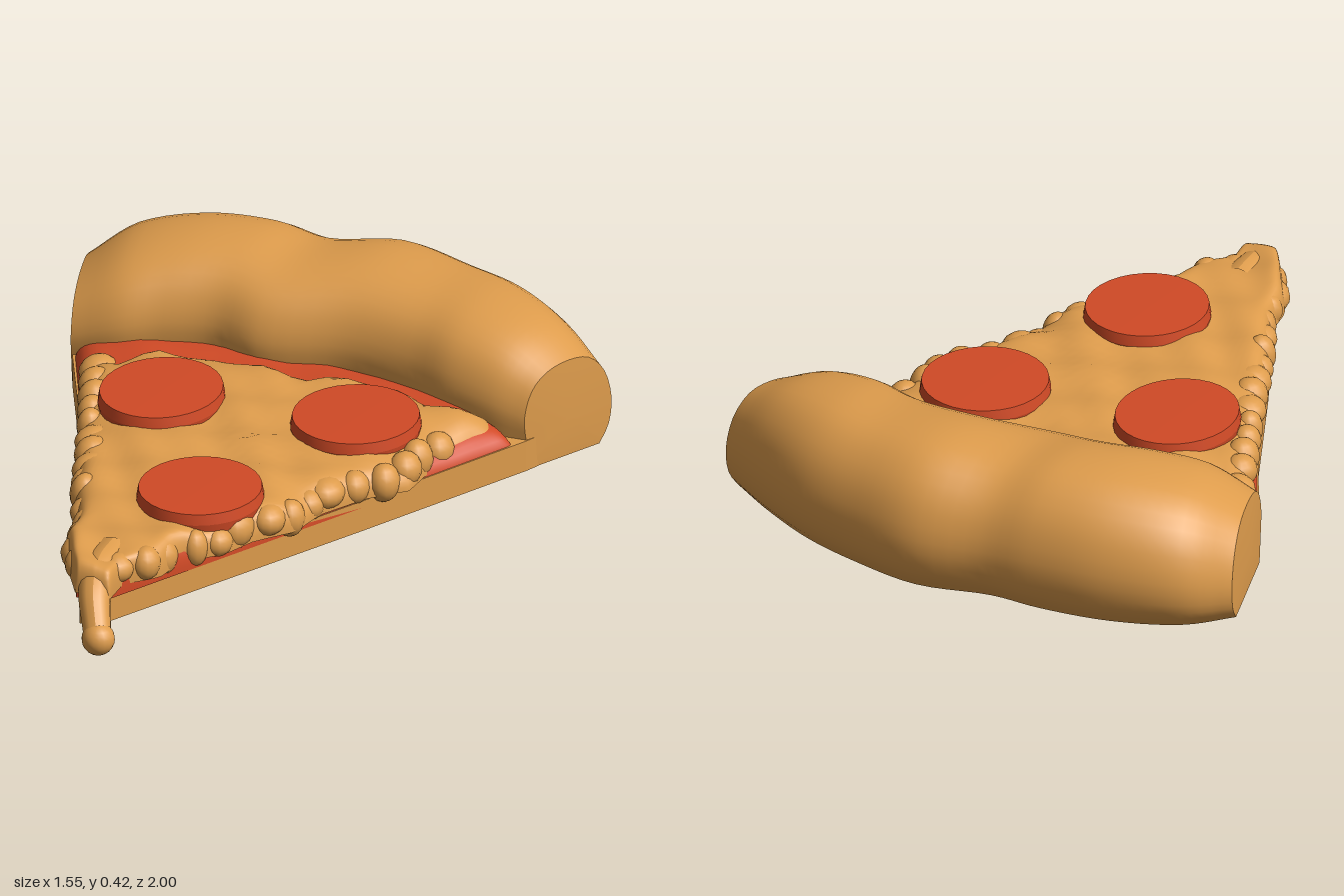
import * as THREE from 'three';
import { toCreasedNormals } from 'three/addons/utils/BufferGeometryUtils.js';

const dough = new THREE.MeshStandardMaterial({ color: 0xde9c4c, side: THREE.DoubleSide });
dough.name = 'bakedDough';
const red = new THREE.MeshStandardMaterial({ color: 0xd14a26, side: THREE.DoubleSide });
red.name = 'tomatoRed';

function add(parent, name, geometry, material) {
  const mesh = new THREE.Mesh(geometry, material);
  mesh.name = name;
  parent.add(mesh);
  return mesh;
}

function build(positions, index) {
  const g = new THREE.BufferGeometry();
  g.setAttribute('position', new THREE.Float32BufferAttribute(positions, 3));
  g.setIndex(index);
  g.computeVertexNormals();
  return g;
}

// Linear interpolation through [key, value] pairs
function lookup(pairs, k) {
  if (k <= pairs[0][0]) return pairs[0][1];
  for (let i = 1; i < pairs.length; i++) {
    const [k0, v0] = pairs[i - 1], [k1, v1] = pairs[i];
    if (k <= k1) return v0 + ((v1 - v0) * (k - k0)) / (k1 - k0);
  }
  return pairs[pairs.length - 1][1];
}

// Outlines: x by z along the sides, z by x along the back of the cheese
const sideLeft = [[-0.45, -0.68], [-0.36, -0.65], [0, -0.45], [0.2, -0.35], [0.4, -0.26], [0.6, -0.17], [0.88, -0.02]];
const sideRight = [[-0.45, 0.65], [0.05, 0.42], [0.88, 0.03]];
const cheeseLeft = [[-0.4, -0.6], [-0.28, -0.58], [0, -0.45], [0.2, -0.355], [0.4, -0.27], [0.58, -0.17],
  [0.68, -0.155], [0.8, -0.08], [0.9, -0.01]];
const cheeseRight = [[-0.45, 0.62], [-0.35, 0.57], [-0.2, 0.51], [-0.05, 0.51], [0.04, 0.43], [0.18, 0.36],
  [0.3, 0.345], [0.4, 0.27], [0.5, 0.235], [0.6, 0.15], [0.7, 0.14], [0.78, 0.07], [0.9, 0.08]];
const cheeseBack = [[-0.6, -0.27], [-0.5, -0.28], [-0.4, -0.38], [-0.3, -0.39], [-0.1, -0.42], [0.04, -0.4],
  [0.14, -0.45], [0.3, -0.46], [0.4, -0.42], [0.55, -0.45], [0.62, -0.4]];

// Soft layer draped over the slice, falling to its base around the rim
function layer({ left, right, back, tip, base, top, bump }) {
  const rows = 60, cols = 40, pos = [], idx = [];
  for (let j = 0; j <= rows; j++) {
    const v = (1 - Math.cos((j / rows) * Math.PI)) / 2;
    for (let i = 0; i <= cols; i++) {
      const u = Math.sin((i / cols - 0.5) * Math.PI);
      const z0 = back(u * 0.62);
      const z = z0 + (tip - z0) * v;
      const xl = lookup(left, z), xr = lookup(right, z);
      const x = xl + ((xr - xl) * (u + 1)) / 2;
      const round = Math.sqrt(Math.max(0, (1 - Math.abs(u) ** 10) * (1 - Math.abs(2 * v - 1) ** 40)));
      const wave = bump * (Math.sin(x * 17 + z * 9) * Math.cos(z * 21 - x * 5) + 0.5 * Math.sin(x * 33 - z * 27));
      pos.push(x, base + (top - base + wave) * round, z);
    }
  }
  const n = cols + 1;
  for (let j = 0; j < rows; j++) for (let i = 0; i < cols; i++) {
    const a = j * n + i;
    idx.push(a, a + n, a + 1, a + 1, a + n, a + n + 1);
  }
  return build(pos, idx);
}

// Puffy crust: a D-shaped section swept between a front and a back outline
function crustGeometry() {
  // frontX, frontZ, backX, backZ, height
  const stations = [
    [-0.66, -0.36, -0.77, -0.72, 0.3], [-0.53, -0.38, -0.67, -0.84, 0.38], [-0.42, -0.43, -0.48, -0.92, 0.415],
    [-0.29, -0.47, -0.27, -0.95, 0.42], [-0.15, -0.455, -0.12, -0.955, 0.402], [0.08, -0.51, 0.08, -1, 0.422],
    [0.28, -0.495, 0.28, -0.97, 0.408], [0.42, -0.455, 0.46, -0.92, 0.405], [0.55, -0.445, 0.63, -0.83, 0.375],
    [0.65, -0.46, 0.775, -0.73, 0.315]];
  const floor = 0.03, steps = 45, pos = [], idx = [];
  const profile = new THREE.SplineCurve([[0.06, 0], [0.02, 0.3], [0, 0.55], [0.08, 0.8], [0.25, 0.95], [0.5, 1],
    [0.74, 0.95], [0.92, 0.75], [1, 0.45], [0.97, 0.18], [0.86, 0]].map(p => new THREE.Vector2(...p))).getPoints(30);
  const n = profile.length;
  const front = new THREE.CatmullRomCurve3(stations.map(s => new THREE.Vector3(s[0], s[4], s[1])));
  const back = new THREE.CatmullRomCurve3(stations.map(s => new THREE.Vector3(s[2], s[4], s[3])));
  for (let i = 0; i <= steps; i++) {
    const f = front.getPoint(i / steps), b = back.getPoint(i / steps);
    for (const p of profile) {
      pos.push(f.x + (b.x - f.x) * p.x, floor + (f.y - floor) * p.y, f.z + (b.z - f.z) * p.x);
    }
  }
  for (let i = 0; i < steps; i++) for (let k = 0; k < n; k++) {
    const a = i * n + k, b = i * n + ((k + 1) % n);
    idx.push(a, a + n, b, b, a + n, b + n);
  }
  // End faces
  for (const [start, s, side] of [[0, stations[0], -1], [steps * n, stations[stations.length - 1], 1]]) {
    const c = pos.length / 3;
    pos.push((s[0] + s[2]) / 2 + side * 0.01, 0.15, (s[1] + s[3]) / 2);
    for (let k = 0; k < n; k++) {
      const a = start + k, b = start + ((k + 1) % n);
      if (side < 0) idx.push(c, a, b); else idx.push(c, b, a);
    }
  }
  return toCreasedNormals(build(pos, idx), 0.75);
}

export function createModel() {
  const model = new THREE.Group();
  model.name = 'pizzaSlice';

  add(model, 'crust', crustGeometry(), dough);

  // Flat bread base under the toppings
  const outline = new THREE.Shape([[-0.7, 0.5], [-0.655, 0.36], [-0.45, 0], [-0.26, -0.4], [-0.015, -0.87], [0.03, -0.87],
    [0.42, -0.05], [0.655, 0.46], [0.67, 0.5], [0.4, 0.7], [-0.4, 0.7]].map(p => new THREE.Vector2(...p)));
  const base = new THREE.ExtrudeGeometry(outline, { depth: 0.09, bevelEnabled: false });
  base.rotateX(-Math.PI / 2).translate(0, 0.03, 0);
  add(model, 'breadBase', base, dough);

  add(model, 'sauce', layer({
    left: sideLeft, right: sideRight, back: x => -0.56 + 0.35 * x * x, tip: 0.86, base: 0.1, top: 0.185, bump: 0.004,
  }), red);
  add(model, 'cheese', layer({
    left: cheeseLeft, right: cheeseRight, back: x => lookup(cheeseBack, x), tip: 0.88, base: 0.125, top: 0.208, bump: 0.009,
  }), dough);

  // Melted lumps along both cut sides
  const lumps = new THREE.Group();
  lumps.name = 'meltedEdges';
  model.add(lumps);
  let seed = 7;
  const random = () => (seed = (seed * 16807) % 2147483647) / 2147483647;
  for (const [side, edge] of [[-1, cheeseLeft], [1, cheeseRight]]) {
    for (let i = 0; i < 15; i++) {
      const z = -0.26 + i * 0.073 + random() * 0.02;
      const r = 0.035 + random() * 0.02;
      const lump = add(lumps, 'cheeseLump', new THREE.SphereGeometry(1, 14, 10), dough);
      lump.scale.set(r, 0.04 + random() * 0.02, r * 1.15);
      lump.position.set(lookup(edge, z) - side * r * 0.85, 0.145 + random() * 0.02, z);
    }
  }

  // Drip hanging from the tip
  const path = new THREE.CatmullRomCurve3([[0, 0.15, 0.7], [0.01, 0.155, 0.8], [0.035, 0.125, 0.88], [0.065, 0.075, 0.93],
    [0.082, 0.045, 0.955]].map(p => new THREE.Vector3(...p)));
  const drip = new THREE.TubeGeometry(path, 24, 1, 14);
  const point = new THREE.Vector3(), centre = new THREE.Vector3();
  for (let i = 0; i < drip.attributes.position.count; i++) {
    const t = Math.floor(i / 15) / 24;
    path.getPointAt(t, centre);
    point.fromBufferAttribute(drip.attributes.position, i).sub(centre);
    point.multiplyScalar(0.038 + 0.026 * (1 - t) ** 1.5).add(centre);
    drip.attributes.position.setXYZ(i, point.x, point.y, point.z);
  }
  drip.computeVertexNormals();
  add(model, 'cheeseDrip', drip, dough);
  add(model, 'dripEnd', new THREE.SphereGeometry(0.045, 18, 12), dough).position.set(0.083, 0.045, 0.955);

  // Sausage slices
  const disc = toCreasedNormals(new THREE.LatheGeometry(
    [[0, 0], [0.97, 0], [1, 0.035], [0.97, 0.065], [0, 0.067]].map(p => new THREE.Vector2(...p)), 32), 0.6);
  for (const [x, z, rx, rz] of [[-0.255, -0.095, 0.167, 0.188], [0.28, -0.19, 0.175, 0.182], [0.095, 0.37, 0.17, 0.178]]) {
    const slice = add(model, 'sausageSlice', disc, red);
    slice.position.set(x, 0.174, z);
    slice.scale.set(rx, 1, rz);
  }
  return model;
}
